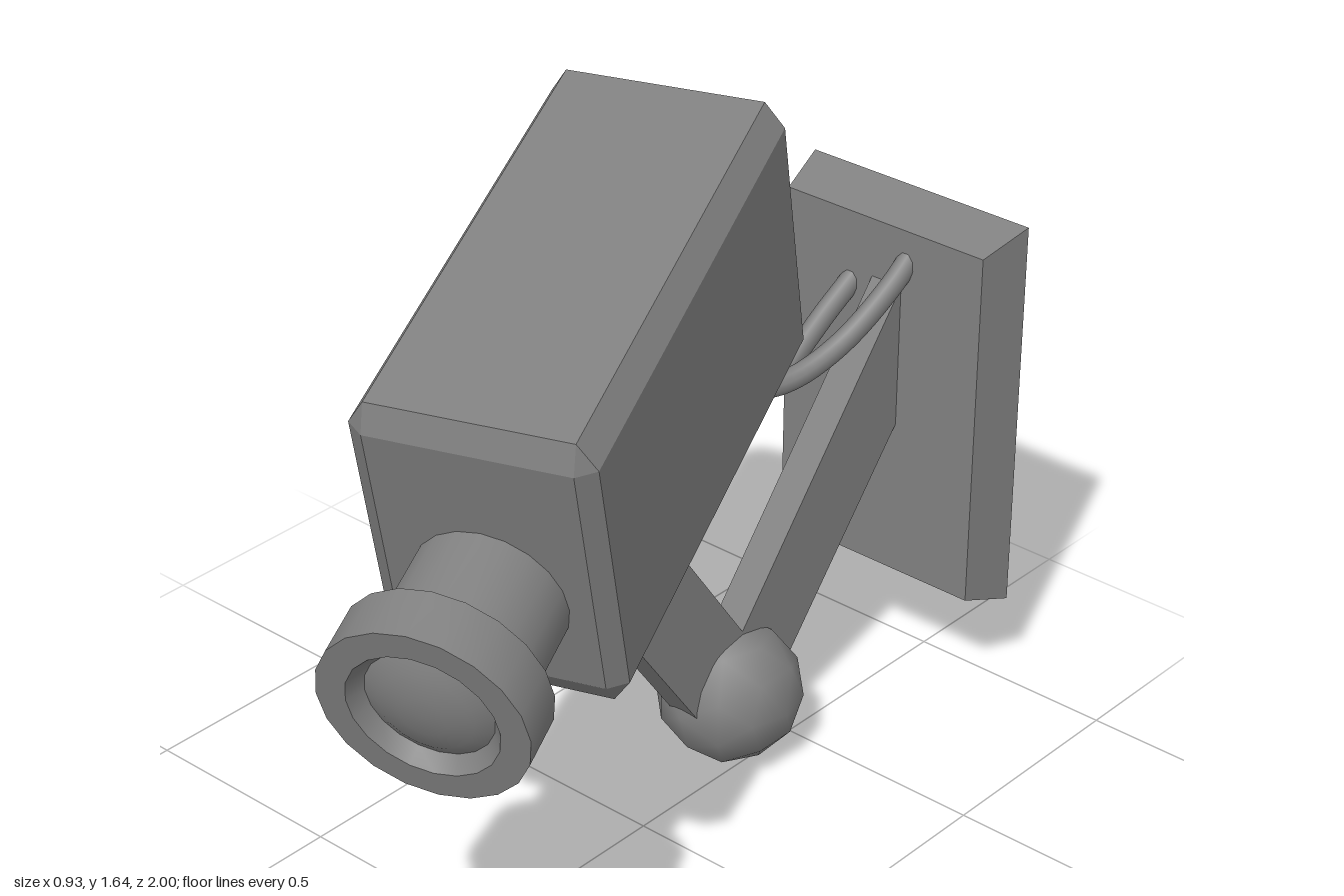
import * as THREE from 'three';
import { toCreasedNormals } from 'three/addons/utils/BufferGeometryUtils.js';
import { ConvexGeometry } from 'three/addons/geometries/ConvexGeometry.js';

const grey = new THREE.MeshStandardMaterial({ color: 0x808080, side: THREE.DoubleSide });
grey.name = 'grey metal';

function part(name, geometry, parent) {
  const mesh = new THREE.Mesh(geometry, grey);
  mesh.name = name;
  parent.add(mesh);
  return mesh;
}

// Box with every edge cut off; cut gives the inset along each axis
function chamferedBox(size, cut) {
  const points = [];
  for (const sx of [-1, 1]) for (const sy of [-1, 1]) for (const sz of [-1, 1]) {
    for (let face = 0; face < 3; face++) {
      const p = [sx, sy, sz].map((s, i) => s * (size[i] / 2 - (i === face ? 0 : cut[i])));
      points.push(new THREE.Vector3(...p));
    }
  }
  return new ConvexGeometry(points);
}

// Flat bar cut from a side outline given as [z, y] points
function bar(outline, width, x) {
  const shape = new THREE.Shape(outline.map(([z, y]) => new THREE.Vector2(z, y)));
  const g = new THREE.ExtrudeGeometry(shape, { depth: width, bevelEnabled: false });
  return g.translate(0, 0, -width / 2).rotateY(-Math.PI / 2).translate(x, 0, 0);
}

// Tray with sloping sides, open towards the wall
function trayGeometry() {
  const g = new THREE.BoxGeometry(0.6, 0.95, 0.125);
  const p = g.attributes.position;
  for (let i = 0; i < p.count; i++) {
    if (p.getZ(i) > 0) p.setXY(i, p.getX(i) * 0.91, p.getY(i) * 0.915);
  }
  g.setIndex(Array.from(g.index.array).slice(0, 30));
  g.clearGroups();
  g.computeVertexNormals();
  return g;
}

export function createModel() {
  const model = new THREE.Group();
  model.name = 'securityCamera';

  // Wall plate
  part('wallPlate', trayGeometry(), model).position.set(-0.07, 0.695, -0.9375);

  // Bracket: two flat arms meeting at ball joints
  const armX = -0.057;
  part('upperArm', bar([[0.2, 0.73], [0.022, 0.855], [-0.43, 0.22], [-0.26, 0.09]], 0.082, armX), model);
  part('wallArm', bar([[-0.27, 0.24], [-0.43, 0.1], [-0.92, 0.695], [-0.92, 1.045]], 0.082, armX), model);
  const ball = new THREE.IcosahedronGeometry(0.168, 1);
  part('lowerJoint', ball, model).position.set(-0.053, 0.17, -0.349);
  part('upperJoint', ball, model).position.set(-0.053, 0.81, 0.11);

  // Cables hanging between plate and housing
  const cables = {
    lowCable: [[-0.15, 1.0, -0.93], [-0.18, 0.9, -0.83], [-0.22, 0.76, -0.69],
      [-0.255, 0.715, -0.59], [-0.295, 0.77, -0.45], [-0.33, 0.87, -0.33], [-0.35, 1.0, -0.23]],
    highCable: [[0, 1.1, -0.93], [-0.02, 1.0, -0.84], [-0.06, 0.89, -0.71],
      [-0.1, 0.84, -0.58], [-0.145, 0.855, -0.45], [-0.19, 0.9, -0.33], [-0.22, 1.0, -0.22]],
  };
  for (const [name, points] of Object.entries(cables)) {
    const curve = new THREE.CatmullRomCurve3(points.map((p) => new THREE.Vector3(...p)));
    part(name, new THREE.TubeGeometry(curve, 32, 0.026, 10), model);
  }

  // Camera head, turned to its left and tipped down
  const head = new THREE.Group();
  head.name = 'cameraHead';
  head.position.set(-0.028, 1.167, 0.131);
  head.rotation.set(THREE.MathUtils.degToRad(15), THREE.MathUtils.degToRad(20), 0, 'YXZ');
  model.add(head);
  part('housing', chamferedBox([0.513, 0.698, 1.09], [0.039, 0.06, 0.029]), head);

  // Lens barrel, rim and domed glass, each turned from a profile
  const turned = {
    lensBarrel: [[0.165, -0.03], [0.165, 0.22]],
    lensRim: [[0.16, 0.215], [0.222, 0.215], [0.222, 0.334], [0.16, 0.334], [0.135, 0.3]],
    lensGlass: [[0.135, 0.3], [0.1, 0.32], [0.05, 0.333], [0, 0.337]],
  };
  for (const [name, profile] of Object.entries(turned)) {
    const g = new THREE.LatheGeometry(profile.map(([r, h]) => new THREE.Vector2(r, h)), 20);
    part(name, toCreasedNormals(g.rotateX(Math.PI / 2), 0.6), head).position.set(0, -0.08, 0.545);
  }

  return model;
}
